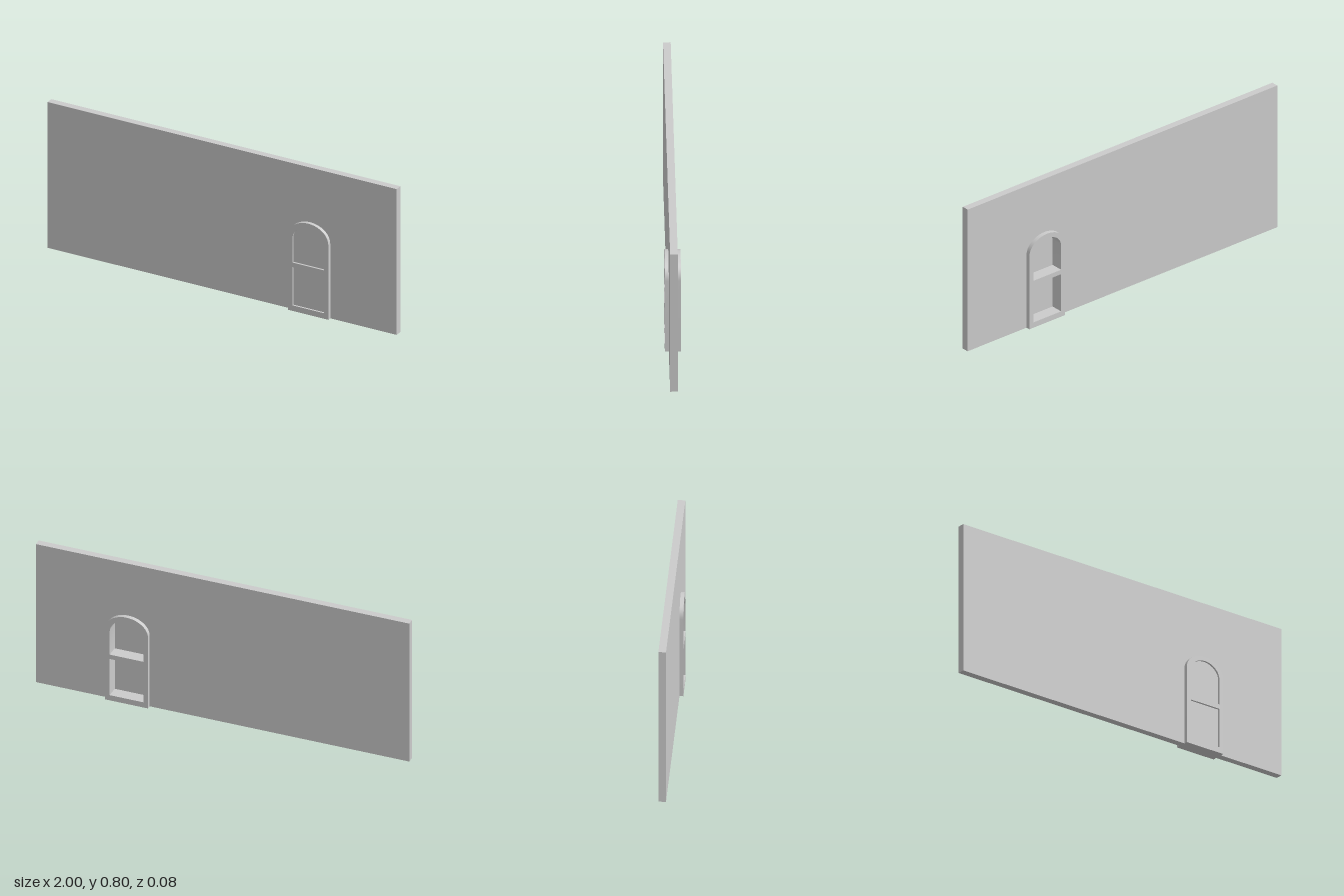
import * as THREE from 'three';
import { toCreasedNormals } from 'three/addons/utils/BufferGeometryUtils.js';

const DOOR_X = 0.505;
const FRAME_DEPTH = 0.08;
const WALL_DEPTH = 0.038;

// Points from the right foot, over the arch, to the left foot.
function archPoints(halfWidth, bottom, spring, top) {
  const points = [[halfWidth, bottom]];
  const steps = 24;
  for (let i = 0; i <= steps; i++) {
    const a = (Math.PI * i) / steps;
    points.push([halfWidth * Math.cos(a), spring + (top - spring) * Math.sin(a)]);
  }
  points.push([-halfWidth, bottom]);
  return points.map(([x, y]) => new THREE.Vector2(x + DOOR_X, y));
}

function rectPoints(halfWidth, bottom, top) {
  return [[halfWidth, bottom], [halfWidth, top], [-halfWidth, top], [-halfWidth, bottom]]
    .map(([x, y]) => new THREE.Vector2(x + DOOR_X, y));
}

// Extrudes a shape, centred on the given z.
function slab(name, shape, depth, z, material) {
  const geometry = new THREE.ExtrudeGeometry(shape, { depth, bevelEnabled: false });
  geometry.translate(0, 0, z - depth / 2);
  const mesh = new THREE.Mesh(toCreasedNormals(geometry, 0.5), material);
  mesh.name = name;
  return mesh;
}

export function createModel() {
  const group = new THREE.Group();
  group.name = 'wallWithDoor';
  const material = new THREE.MeshStandardMaterial({ color: 0xcccccc });

  const outer = archPoints(0.115, 0, 0.41, 0.5);
  const upper = archPoints(0.09, 0.265, 0.4, 0.475);
  const lower = rectPoints(0.09, 0.03, 0.24);

  // Wall, notched around the doorway and very slightly turned
  const wallShape = new THREE.Shape([
    new THREE.Vector2(-1, 0),
    ...outer.slice().reverse(),
    new THREE.Vector2(1, 0),
    new THREE.Vector2(1, 0.8),
    new THREE.Vector2(-1, 0.8),
  ]);
  const wall = slab('wall', wallShape, WALL_DEPTH, 0.002, material);
  wall.rotation.y = 0.001;
  group.add(wall);

  // Arched door frame with a cross rail between its two openings
  const frameShape = new THREE.Shape(outer);
  frameShape.holes.push(new THREE.Path(upper), new THREE.Path(lower));
  group.add(slab('doorFrame', frameShape, FRAME_DEPTH, 0, material));

  // Thin panels close to the front of the frame
  group.add(slab('upperPanel', new THREE.Shape(upper), 0.004, 0.028, material));
  group.add(slab('lowerPanel', new THREE.Shape(lower), 0.004, 0.028, material));

  return group;
}
